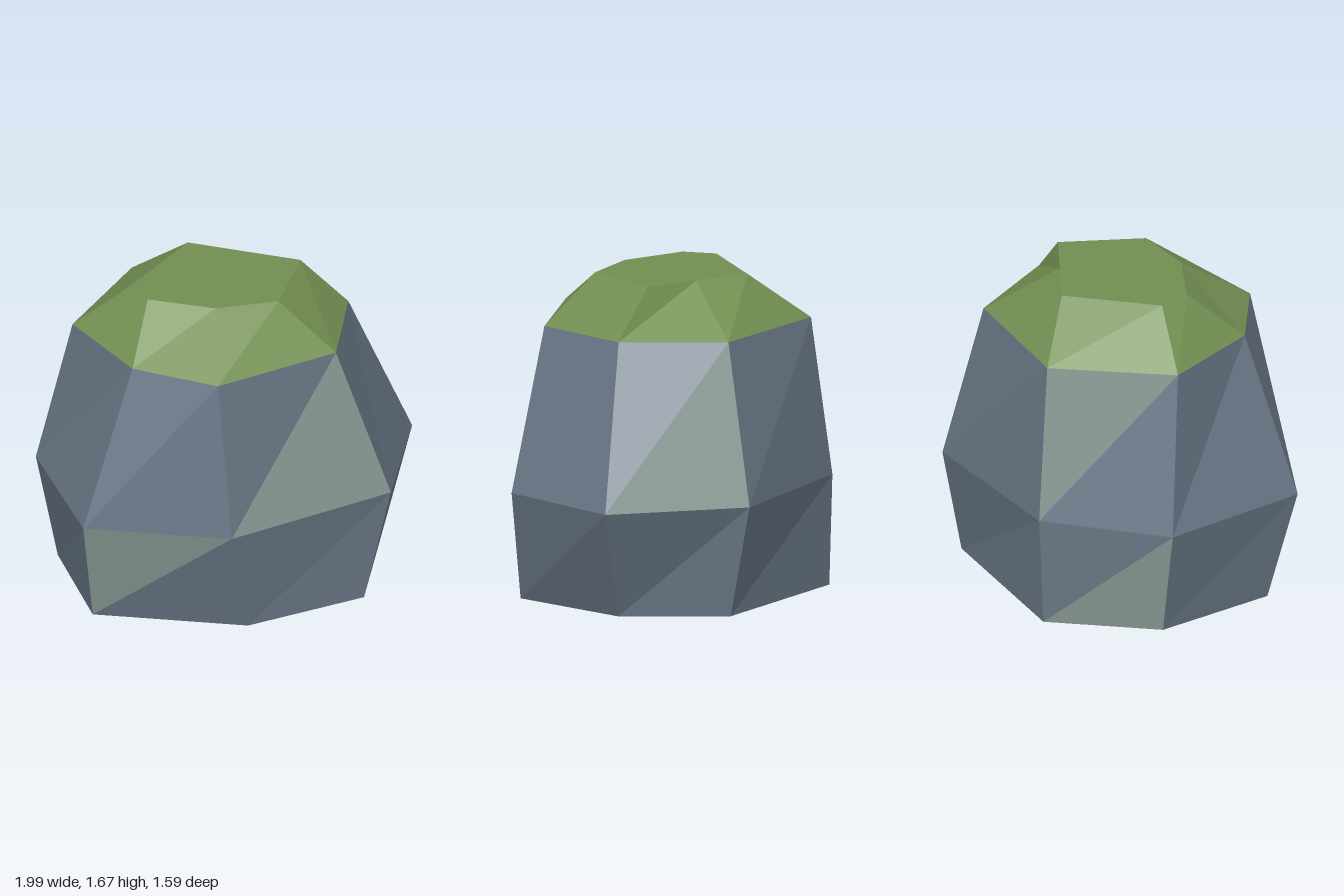
import * as THREE from 'three';

const mat = (name, color) => Object.assign(new THREE.MeshStandardMaterial({ color, flatShading: true }), { name });

// Seven-sided rings as [x, z], running from +x towards +z
const rings = [
  { y: 0, pts: [[0.74, 0.01], [0.47, 0.63], [-0.2, 0.69], [-0.9, 0.28], [-0.83, -0.38], [-0.35, -0.78], [0.555, -0.54]] },
  { y: 0.587, pts: [[0.99, 0], [0.62, 0.63], [-0.33, 0.79], [-1, 0.4], [-0.94, -0.41], [-0.34, -0.8], [0.58, -0.65]] },
  { y: 1.42, pts: [[0.615, 0.05], [0.35, 0.54], [-0.35, 0.65], [-0.69, 0.31], [-0.8, -0.25], [-0.29, -0.7], [0.44, -0.49]] },
  { y: 1.67, pts: [[0.38, -0.03], [0.11, 0.34], [-0.22, 0.29], [-0.51, 0.07], [-0.52, -0.11], [-0.09, -0.42], [0.15, -0.22]] },
];

// Two triangles per side between neighbouring rings; pick(side, half) filters them
function band(lower, upper, pick = () => true) {
  const n = lower.pts.length;
  const at = (ring, i) => [ring.pts[i % n][0], ring.y, ring.pts[i % n][1]];
  const pos = [];
  for (let i = 0; i < n; i++) {
    if (pick(i, 'a')) pos.push(...at(lower, i), ...at(upper, i), ...at(lower, i + 1));
    if (pick(i, 'b')) pos.push(...at(upper, i), ...at(upper, i + 1), ...at(lower, i + 1));
  }
  const geo = new THREE.BufferGeometry();
  geo.setAttribute('position', new THREE.Float32BufferAttribute(pos, 3));
  geo.computeVertexNormals();
  return geo;
}

// Flat polygon closing a ring, facing up (1) or down (-1)
function cap(ring, facing) {
  const shape = new THREE.Shape(ring.pts.map(([x, z]) => new THREE.Vector2(x, -z * facing)));
  return new THREE.ShapeGeometry(shape).rotateX(-facing * Math.PI / 2).translate(0, ring.y, 0);
}

export function createModel() {
  const group = new THREE.Group();
  group.name = 'mossyBoulder';
  const stone = mat('blue grey stone', 0x687685);
  const pale = mat('pale grey stone', 0x8a9a94);
  const moss = mat('moss green', 0x728f52);
  const add = (name, geo, material) => {
    const mesh = new THREE.Mesh(geo, material);
    mesh.name = name;
    group.add(mesh);
  };

  // Stone sides, with a few facets in the paler stone
  const paleFacets = [['2b', '4a'], ['1a', '4b', '6a']];
  ['lowerStone', 'upperStone'].forEach((name, k) => {
    const isPale = (i, half) => paleFacets[k].includes(i + half);
    add(name, band(rings[k], rings[k + 1], (i, h) => !isPale(i, h)), stone);
    add(name + 'PaleFacets', band(rings[k], rings[k + 1], isPale), pale);
  });
  add('underside', cap(rings[0], -1), pale);

  // Moss cap
  add('mossSlope', band(rings[2], rings[3]), moss);
  add('mossTop', cap(rings[3], 1), moss);
  return group;
}
